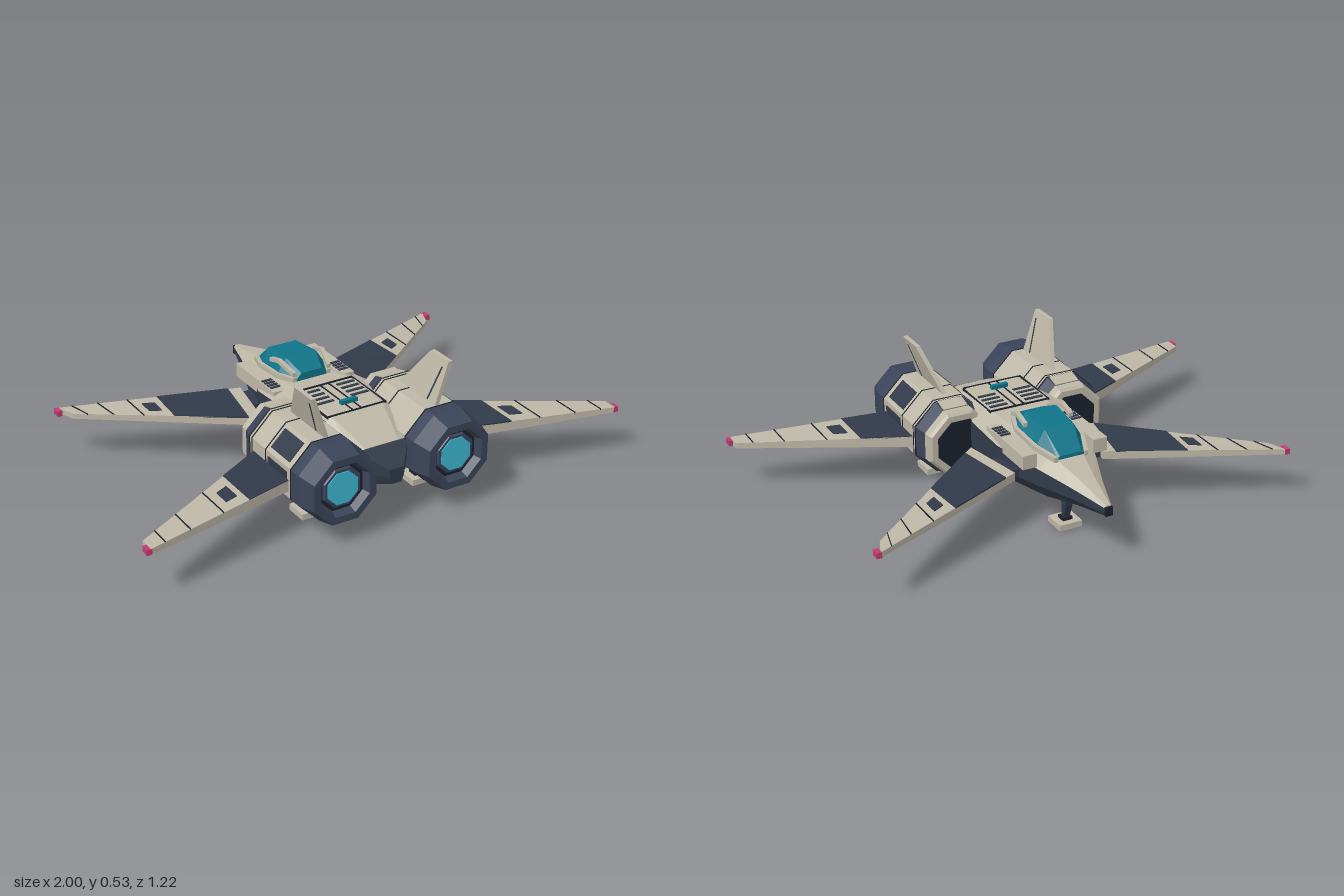
import * as THREE from 'three';

const mat = (name, color) => Object.assign(new THREE.MeshStandardMaterial({ color }), { name });

export function createModel() {
  const beige = mat('warm grey hull', 0xbdb7a6);
  const navy = mat('navy panel', 0x313a49);
  const slate = mat('slate engine', 0x3a4458);
  const dark = mat('dark recess', 0x1b212c);
  const teal = mat('teal canopy', 0x0f7488);
  const cyan = mat('cyan glow', 0x3cb8d4);
  const pink = mat('pink tip light', 0xc43a70);
  const model = new THREE.Group();

  const add = (name, geo, material, parent = model) => {
    const m = new THREE.Mesh(geo, material);
    m.name = name;
    parent.add(m);
    return m;
  };
  const box = (name, material, w, h, d, x, y, z, parent = model) => {
    const m = add(name, new THREE.BoxGeometry(w, h, d), material, parent);
    m.position.set(x, y, z);
    return m;
  };
  // Flat-shaded solid through rings of [x, y, z] points, capped and wound outward
  const loft = (rings) => {
    const tris = [], n = rings[0].length, last = rings[rings.length - 1];
    for (let i = 0; i + 1 < rings.length; i++)
      for (let j = 0; j < n; j++) {
        const k = (j + 1) % n, a = rings[i][j], b = rings[i][k], c = rings[i + 1][k], d = rings[i + 1][j];
        tris.push([a, b, c], [a, c, d]);
      }
    for (let j = 1; j + 1 < n; j++) {
      tris.push([rings[0][0], rings[0][j + 1], rings[0][j]], [last[0], last[j], last[j + 1]]);
    }
    let volume = 0;
    for (const [a, b, c] of tris)
      volume += a[0] * (b[1] * c[2] - b[2] * c[1]) + a[1] * (b[2] * c[0] - b[0] * c[2]) + a[2] * (b[0] * c[1] - b[1] * c[0]);
    if (volume < 0) tris.forEach((t) => t.reverse());
    const g = new THREE.BufferGeometry();
    g.setAttribute('position', new THREE.Float32BufferAttribute(tris.flat(2), 3));
    g.computeVertexNormals();
    return g;
  };

  // Fuselage sections: z, half width, seam y, deck half width, deck y, keel half width, keel y
  const sections = [
    [-0.605, 0.015, 0.222, 0.008, 0.23, 0.01, 0.19],
    [-0.45, 0.065, 0.243, 0.03, 0.268, 0.035, 0.165],
    [-0.3, 0.122, 0.265, 0.06, 0.303, 0.08, 0.142],
    [-0.1, 0.185, 0.287, 0.09, 0.325, 0.12, 0.127],
    [0.1, 0.2, 0.313, 0.12, 0.342, 0.13, 0.12],
    [0.3, 0.17, 0.313, 0.11, 0.342, 0.12, 0.12],
    [0.47, 0.11, 0.262, 0.07, 0.275, 0.08, 0.135],
  ];
  const lower = ([z, w, y, , , k, b]) => {
    const m = y * 0.45 + b * 0.55;
    return [[w, y, z], [-w, y, z], [-w, m, z], [-k, b, z], [k, b, z], [w, m, z]];
  };
  const upper = ([z, w, y, t, d]) => [[w, y, z], [t, d, z], [-t, d, z], [-w, y, z]];
  add('lowerHull', loft(sections.map(lower)), navy);
  add('upperHull', loft(sections.map(upper)), beige);
  const tail = sections[6];
  add('tailCone', loft([
    lower([0.47, 0.11, 0.274, 0, 0, 0.08, tail[6]]),
    lower([0.57, 0.03, 0.225, 0, 0, 0.02, 0.165]),
  ]), navy);
  box('noseCap', dark, 0.028, 0.035, 0.012, 0, 0.208, -0.608);

  // Canopy: z, base half width, base y, roof half width, roof y
  const canopy = [
    [-0.33, 0.055, 0.298, 0.045, 0.312],
    [-0.24, 0.09, 0.3, 0.06, 0.384],
    [-0.1, 0.098, 0.315, 0.065, 0.398],
    [-0.02, 0.065, 0.325, 0.045, 0.362],
  ].map(([z, w, y, t, r]) => [[w, y, z], [w, y * 0.6 + r * 0.4, z], [t, r, z], [-t, r, z], [-w, y * 0.6 + r * 0.4, z], [-w, y, z]]);
  add('canopy', loft(canopy), teal);

  // Deck hatch, seams and spine light
  for (const [x, z, w, d] of [[0, 0.068, 0.25, 0.005], [0, 0.302, 0.25, 0.005], [-0.018, 0.185, 0.005, 0.23], [0.018, 0.185, 0.005, 0.23]])
    box('deckSeam', dark, w, 0.006, d, x, 0.342, z);
  box('spineLight', teal, 0.07, 0.015, 0.018, 0, 0.351, 0.242);

  // Beam of rectangular section along a list of points
  const beam = (pts, w, h) => loft(pts.map(([x, y, z]) =>
    [[x - w, y - h, z], [x + w, y - h, z], [x + w, y + h, z], [x - w, y + h, z]]));

  // Eight-sided ring with flats top and sides, a = distance to the flats
  const octagon = (x, a, z) => Array.from({ length: 8 }, (_, i) => {
    const t = (i + 0.5) * Math.PI / 4, r = a / Math.cos(Math.PI / 8);
    return [x + r * Math.cos(t), 0.225 + r * Math.sin(t), z];
  });

  // Wing with top paint; corners are [x, z], thickness runs from root to tip
  const wing = (name, s, [rootLE, rootTE, tipLE, tipTE], [rt, rb, tt, tb], paint, seams, patch) => {
    const g = new THREE.Group();
    g.name = name;
    model.add(g);
    const mix = THREE.MathUtils.lerp;
    const ring = (u, v0, v1, skin) => {
      const at = (v, y) => [s * mix(mix(rootLE[0], rootTE[0], v), mix(tipLE[0], tipTE[0], v), u), y,
        mix(mix(rootLE[1], rootTE[1], v), mix(tipLE[1], tipTE[1], v), u)];
      const top = mix(rt, tt, u), bottom = skin ? top - 0.003 : mix(rb, tb, u), lift = skin ? 0.003 : 0;
      return [at(v0, top + lift), at(v1, top + lift), at(v1, bottom), at(v0, bottom)];
    };
    const slab = (label, m, u0, u1, v0, v1, skin) =>
      add(label, loft([ring(u0, v0, v1, skin), ring(u1, v0, v1, skin)]), m, g);
    slab('wingPanel', beige, 0, 1, 0, 1, false);
    slab('wingPaint', navy, paint[0], paint[1], 0, 1, true);
    slab('wingPatch', navy, patch[0], patch[1], 0.3, 0.72, true);
    seams.forEach((u) => slab('wingSeam', dark, u, u + 0.006, 0, 1, true));
    box('tipLight', pink, 0.02, 0.022, 0.034, s * (tipLE[0] + 0.005), (tt + tb) / 2,
      tipLE[1] + (name === 'rearWing' ? 0.045 : 0.015), g);
  };

  for (const s of [1, -1]) {
    // Shoulder housings with louvres, cockpit rails and deck vents
    box('shoulderHousing', beige, 0.058, 0.055, 0.29, s * 0.147, 0.295, -0.145);
    for (let i = 0; i < 4; i++) box('shoulderLouvre', navy, 0.042, 0.006, 0.012, s * 0.15, 0.323, -0.1 + i * 0.021);
    for (let i = 0; i < 4; i++) box('deckVent', navy, 0.075, 0.006, 0.013, s * 0.075, 0.342, 0.1 + i * 0.033);
    box('hatchEdge', dark, 0.005, 0.008, 0.235, s * 0.125, 0.338, 0.185);
    add('canopyFrame', beam([[s * 0.075, 0.362, -0.02], [s * 0.095, 0.393, -0.1], [s * 0.095, 0.376, -0.16]], 0.008, 0.008), beige);
    add('canopyRail', beam([[s * 0.075, 0.338, -0.02], [s * 0.104, 0.335, -0.1], [s * 0.098, 0.32, -0.24], [s * 0.062, 0.302, -0.335]], 0.008, 0.01), beige);

    // Engine nacelle
    const x = s * 0.24;
    const nacelle = new THREE.Group();
    nacelle.name = 'engine';
    model.add(nacelle);
    const shell = (name, m, steps) => add(name, loft(steps.map(([a, z]) => octagon(x, a, z))), m, nacelle);
    shell('intakeCollar', beige, [[0.118, 0.09], [0.128, 0.1], [0.13, 0.135]]);
    shell('intakeMouth', dark, [[0.095, 0.086], [0.095, 0.095]]);
    shell('intakeBand', slate, [[0.13, 0.132], [0.144, 0.185]]);
    shell('engineBody', beige, [[0.145, 0.184], [0.145, 0.477]]);
    [0.184, 0.2, 0.3, 0.475].forEach((z) => shell('engineSeam', dark, [[0.1465, z], [0.1465, z + 0.005]]));
    shell('nozzle', slate, [[0.145, 0.477], [0.145, 0.53], [0.127, 0.61], [0.1, 0.61], [0.088, 0.575]]);
    shell('nozzleThroat', dark, [[0.088, 0.574], [0.088, 0.58]]);
    shell('nozzleRing', slate, [[0.078, 0.578], [0.072, 0.588]]);
    shell('nozzleGlow', cyan, [[0.062, 0.586], [0.062, 0.592]]);
    const lid = box('intakeLid', beige, 0.1, 0.006, 0.054, x, 0.363, 0.159, nacelle);
    lid.rotation.x = -0.258;
    for (const t of [0, Math.PI / 4]) {
      const p = box('enginePanel', navy, 0.006, t ? 0.085 : 0.045, 0.13,
        x + s * 0.145 * Math.cos(t), (t ? 0.225 : 0.243) + 0.145 * Math.sin(t), 0.385, nacelle);
      p.rotation.z = s * t;
    }

    // Outward-leaning tail fin with a dark hinge line
    const fin = (corners, h) => loft([-h, h].map((o) =>
      corners.map(([z, y]) => [s * (0.235 + (y - 0.37) * 0.33 + o), y, z])));
    add('tailFin', fin([[0.23, 0.36], [0.47, 0.36], [0.47, 0.533], [0.357, 0.533]], 0.009), beige);
    add('finHinge', fin([[0.415, 0.375], [0.422, 0.375], [0.449, 0.506], [0.442, 0.506]], 0.0105), navy);

    // Swept wings
    wing('rearWing', s, [[0.36, 0.2], [0.36, 0.455], [0.985, 0.52], [0.985, 0.582]],
      [0.234, 0.19, 0.209, 0.187], [0.01, 0.32], [0.5, 0.73, 0.9], [0.36, 0.44]);
    wing('forwardWing', s, [[0.185, -0.245], [0.235, 0.015], [0.835, -0.505], [0.805, -0.43]],
      [0.24, 0.207, 0.211, 0.19], [0.07, 0.46], [0.62, 0.78, 0.92], [0.5, 0.57]);
    box('wingPivot', navy, 0.05, 0.03, 0.12, s * 0.18, 0.22, -0.16);
  }

  // Landing gear
  const gear = (x, topY, topZ, footZ) => {
    const g = new THREE.Group();
    g.name = 'landingGear';
    model.add(g);
    box('footPad', beige, 0.094, 0.024, 0.092, x, 0.016, footZ, g);
    box('ankle', dark, 0.04, 0.012, 0.04, x, 0.033, footZ, g);
    add('strut', loft([[0.03, footZ, 0.011], [topY, topZ, 0.018]].map(([y, z, r]) =>
      [[x - r, y, z - r], [x + r, y, z - r], [x + r, y, z + r], [x - r, y, z + r]])), navy, g);
  };
  gear(0, 0.15, -0.318, -0.293);
  box('gearMount', navy, 0.07, 0.025, 0.135, 0, 0.134, -0.295);
  gear(0.24, 0.1, 0.335, 0.345);
  gear(-0.24, 0.1, 0.335, 0.345);
  return model;
}
